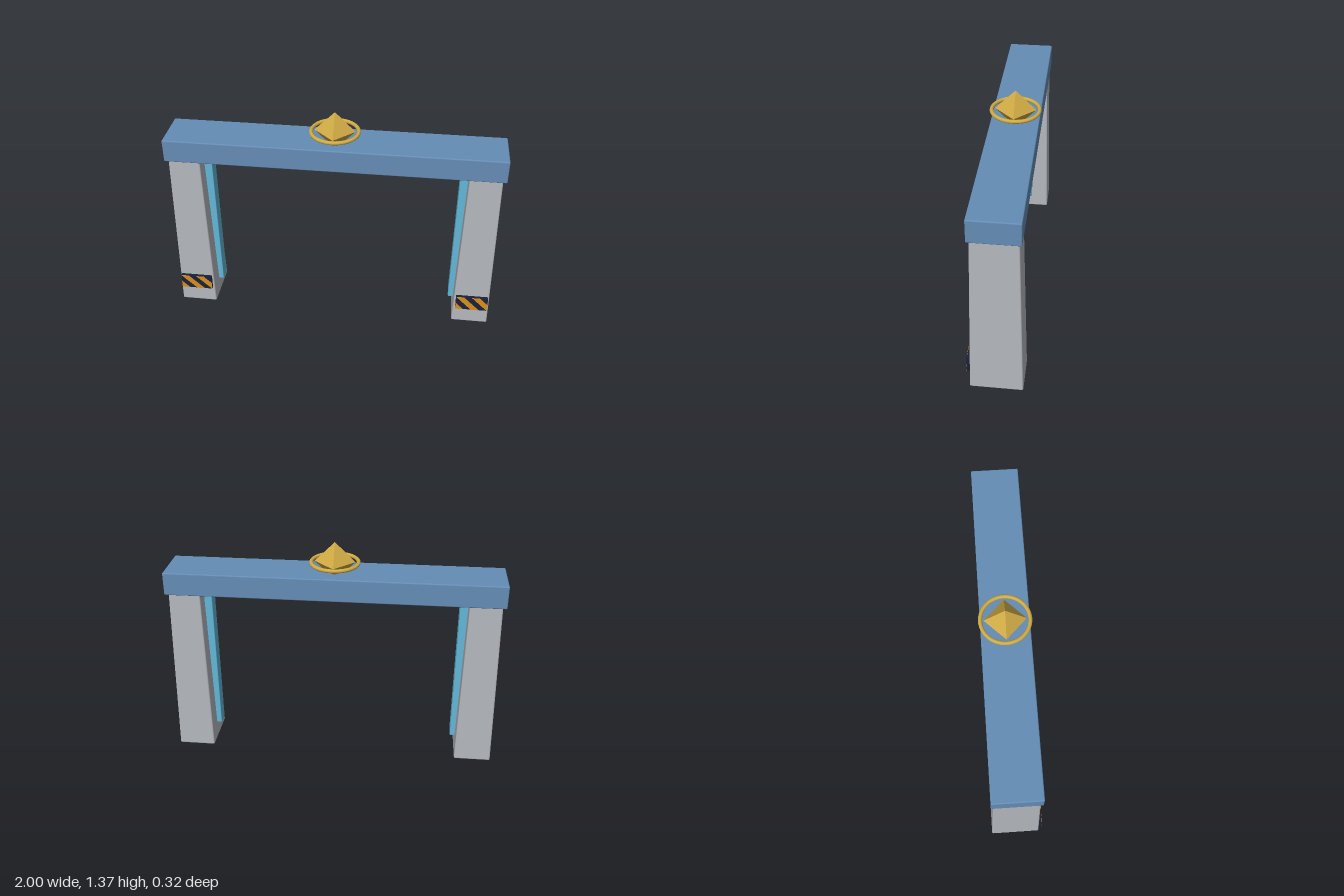
import * as THREE from 'three';
import { RoundedBoxGeometry } from 'three/addons/geometries/RoundedBoxGeometry.js';

const mat = (name, color, extra = {}) => {
  const m = new THREE.MeshStandardMaterial({ color, ...extra });
  m.name = name;
  return m;
};

export function createModel() {
  const stone = mat('pale grey', 0xb6b9bf);
  const blue = mat('steel blue', 0x658db6);
  const cyan = mat('light cyan', 0x62b8d8);
  const gold = mat('gold', 0xd0ab45);
  const goldFlat = gold;
  const navy = mat('navy', 0x1c2038);
  const orange = mat('orange', 0xd8901c);

  const model = new THREE.Group();
  model.name = 'gateway';
  const zMid = -0.007;

  const add = (name, geometry, material, x, y, z, parent = model) => {
    const mesh = new THREE.Mesh(geometry, material);
    mesh.name = name;
    mesh.position.set(x, y, z);
    parent.add(mesh);
    return mesh;
  };

  // Tapered pillar: a rounded box narrowed towards the top
  const height = 1.06;
  const pillarGeo = new RoundedBoxGeometry(0.225, height, 0.305, 3, 0.009);
  const p = pillarGeo.attributes.position;
  for (let i = 0; i < p.count; i++) {
    const s = 1 - 0.16 * (p.getY(i) / height + 0.5);
    p.setX(i, p.getX(i) * s);
    p.setZ(i, p.getZ(i) * s);
  }

  // Hazard stripes, slanting down to the right across two periods
  const w = 0.198, h = 0.096, P = w / 2;
  const stripes = [
    [[0, 0], [P / 2, 0], [0, h / 2]],
    [[0, h], [P, 0], [1.5 * P, 0], [P / 2, h]],
    [[P, h], [2 * P, 0], [2 * P, h / 2], [1.5 * P, h]],
  ].map((pts) => new THREE.Shape(pts.map(([x, y]) => new THREE.Vector2(x - w / 2, y - h / 2))));
  const stripeGeo = new THREE.ExtrudeGeometry(stripes, { depth: 0.002, bevelEnabled: false });

  for (const [side, label] of [[-1, 'right'], [1, 'left']]) {
    add(label + 'Pillar', pillarGeo, stone, side * 0.883, height / 2, zMid);
    // Light strip on the inner face
    add(label + 'LightStrip', new RoundedBoxGeometry(0.05, 0.91, 0.08, 2, 0.004), cyan,
      side * 0.766, 0.555, zMid);
    // Warning plate on the front face
    const sign = new THREE.Group();
    sign.name = label + 'WarningPlate';
    sign.position.set(side * 0.885, 0.16, 0);
    add('plateBase', new THREE.BoxGeometry(w, h, 0.02), navy, 0, 0, 0.15, sign);
    add('plateStripes', stripeGeo, orange, 0, 0, 0.16, sign);
    model.add(sign);
  }

  // Crossbeam
  add('beam', new RoundedBoxGeometry(2, 0.14, 0.282, 3, 0.007), blue, 0, 1.12, zMid);

  // Crystal with a ring on top
  add('crystal', new THREE.OctahedronGeometry(0.12, 0), goldFlat, 0, 1.247, zMid);
  const ring = add('ring', new THREE.TorusGeometry(0.139, 0.0115, 12, 48), gold, 0, 1.243, zMid);
  ring.rotation.x = Math.PI / 2;

  return model;
}
